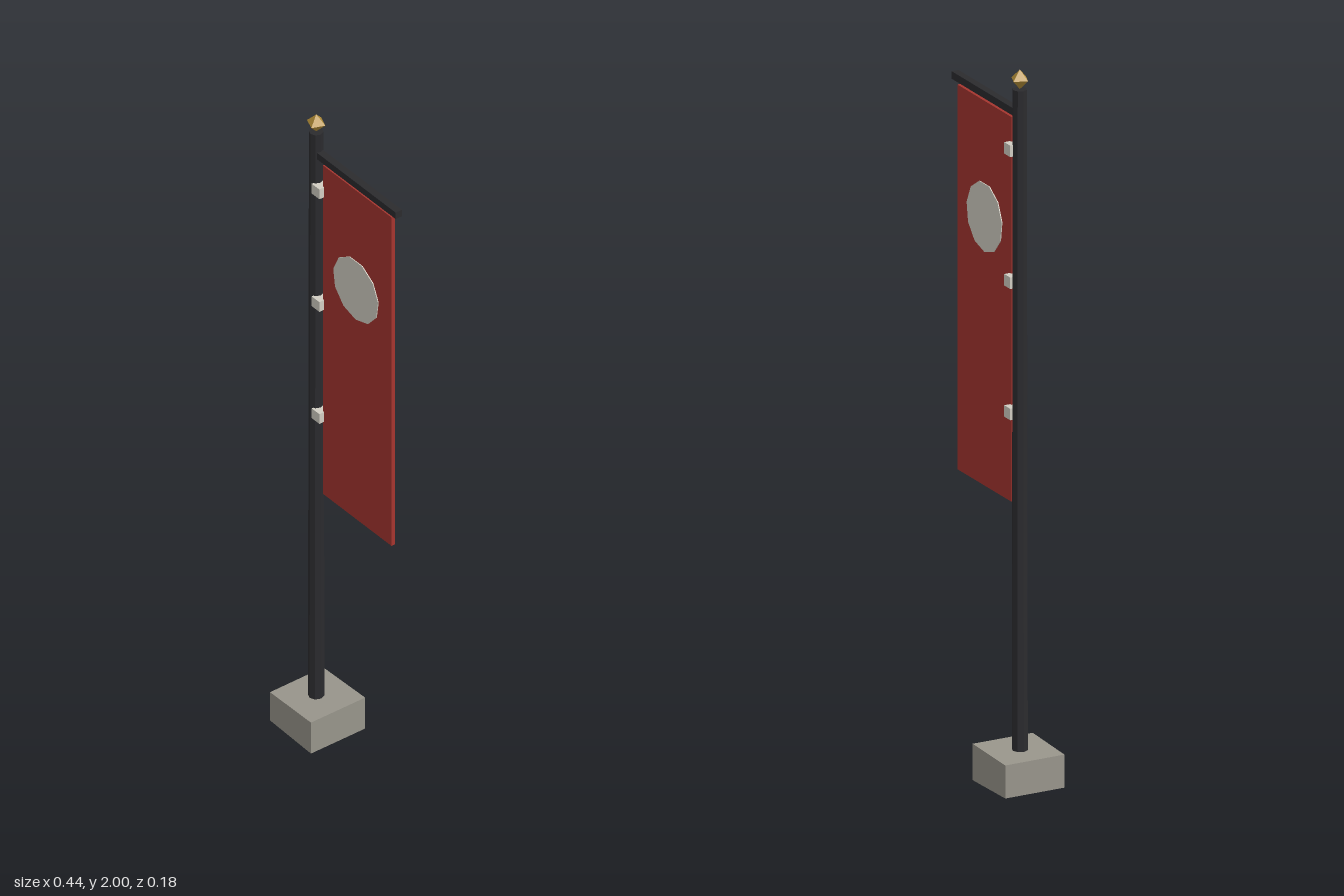
import * as THREE from 'three';

const mat = (name, color, extra = {}) => {
  const m = new THREE.MeshStandardMaterial({ color, flatShading: true, ...extra });
  m.name = name;
  return m;
};

export function createModel() {
  const group = new THREE.Group();
  const stone = mat('grey stone', 0x98958b, { side: THREE.DoubleSide });
  const iron = mat('black iron', 0x2b2b2e);
  const cloth = mat('red cloth', 0xa5352f);
  const pale = mat('pale cream', 0xd2cec3);
  const gold = mat('dull gold', 0xb58f38);
  const poleX = -0.133;

  const add = (name, geometry, material, x = 0, y = 0, z = 0) => {
    const mesh = new THREE.Mesh(geometry, material);
    mesh.name = name;
    mesh.position.set(x, y, z);
    group.add(mesh);
    return mesh;
  };
  // Box given by its lower and upper limits
  const box = (name, material, [x0, y0, z0], [x1, y1, z1]) =>
    add(name, new THREE.BoxGeometry(x1 - x0, y1 - y0, z1 - z0), material,
      (x0 + x1) / 2, (y0 + y1) / 2, (z0 + z1) / 2);

  // Stone foot: slightly uneven block, hollow and open underneath
  const foot = new THREE.BoxGeometry(0.18, 0.097, 0.18);
  const index = Array.from(foot.index.array);
  index.splice(18, 6); // leave out the underside
  foot.setIndex(index);
  foot.clearGroups();
  const p = foot.attributes.position;
  for (let i = 0; i < p.count; i++) {
    const x = p.getX(i), y = p.getY(i), z = p.getZ(i);
    p.setXYZ(i, x + (z > 0 && x < 0 ? 0.001 : 0),
      y + (y > 0 ? x * 0.03 : -x * 0.02),
      z + (z > 0 ? x * 0.015 : 0));
  }
  foot.computeVertexNormals();
  add('foot', foot, stone, -0.131, 0.05, -0.002);

  // Pole with a slight taper
  add('pole', new THREE.CylinderGeometry(0.0195, 0.022, 1.86, 8), iron, poleX, 1.015, 0);

  // Pointed finial
  const finial = add('finial', new THREE.OctahedronGeometry(0.0275), gold, poleX, 1.9725, 0);
  finial.rotation.y = 0.42;

  // Crossbar above the banner
  box('crossbar', iron, [-0.125, 1.867, -0.011], [0.221, 1.888, 0.01]);

  // Banner with a round emblem on each face
  box('banner', cloth, [-0.097, 0.781, -0.006], [0.198, 1.857, 0.006]);
  for (const side of [1, -1]) {
    const disc = new THREE.CylinderGeometry(0.097, 0.097, 0.003, 11);
    disc.rotateX(Math.PI / 2);
    add(side > 0 ? 'emblemFront' : 'emblemBack', disc, pale, 0.047, 1.533, side * 0.007);
  }

  // Clips holding the banner to the pole
  [1.036, 1.403, 1.772].forEach((y, i) =>
    box(`clip${i + 1}`, pale, [-0.124, y - 0.016, -0.024], [-0.091, y + 0.016, 0.022]));

  return group;
}
